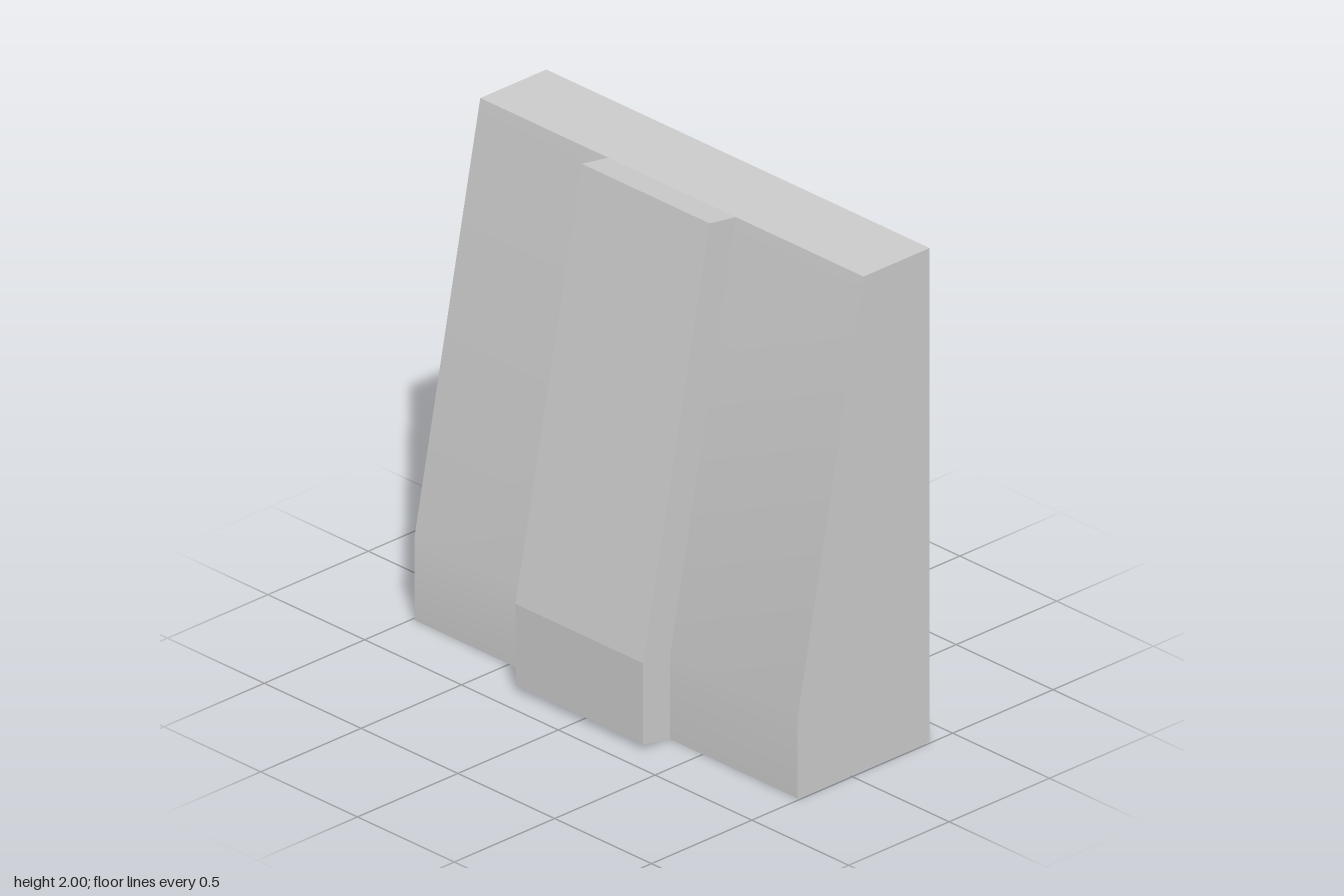
import * as THREE from 'three';
import { toCreasedNormals } from 'three/addons/utils/BufferGeometryUtils.js';

const material = new THREE.MeshStandardMaterial({ color: 0xcccccc });

// Extrude a side profile of [z, y] points across x, centred on x = 0
function slab(name, profile, width, creaseAngle) {
  const shape = new THREE.Shape(profile.map(([z, y]) => new THREE.Vector2(z, y)));
  const geometry = new THREE.ExtrudeGeometry(shape, { depth: width, bevelEnabled: false });
  geometry.translate(0, 0, -width / 2).rotateY(-Math.PI / 2);
  const mesh = new THREE.Mesh(toCreasedNormals(geometry, creaseAngle), material);
  mesh.name = name;
  return mesh;
}

export function createModel() {
  const group = new THREE.Group();
  group.name = 'slopedWall';

  // Wall with upright back and a front that leans back above a low plinth
  group.add(slab('wallBody', [
    [-0.395, 0], [0.262, 0], [0.262, 0.33], [-0.066, 1.98], [-0.395, 1.98],
  ], 1.98, 0.5));

  // Raised centre strip following the front slope, with slanted ends
  group.add(slab('centreStrip', [
    [0.262, 0], [0.395, 0.025], [0.395, 0.35], [0.064, 2], [-0.066, 1.98], [0.262, 0.33],
  ], 0.66, 0.1));

  return group;
}
